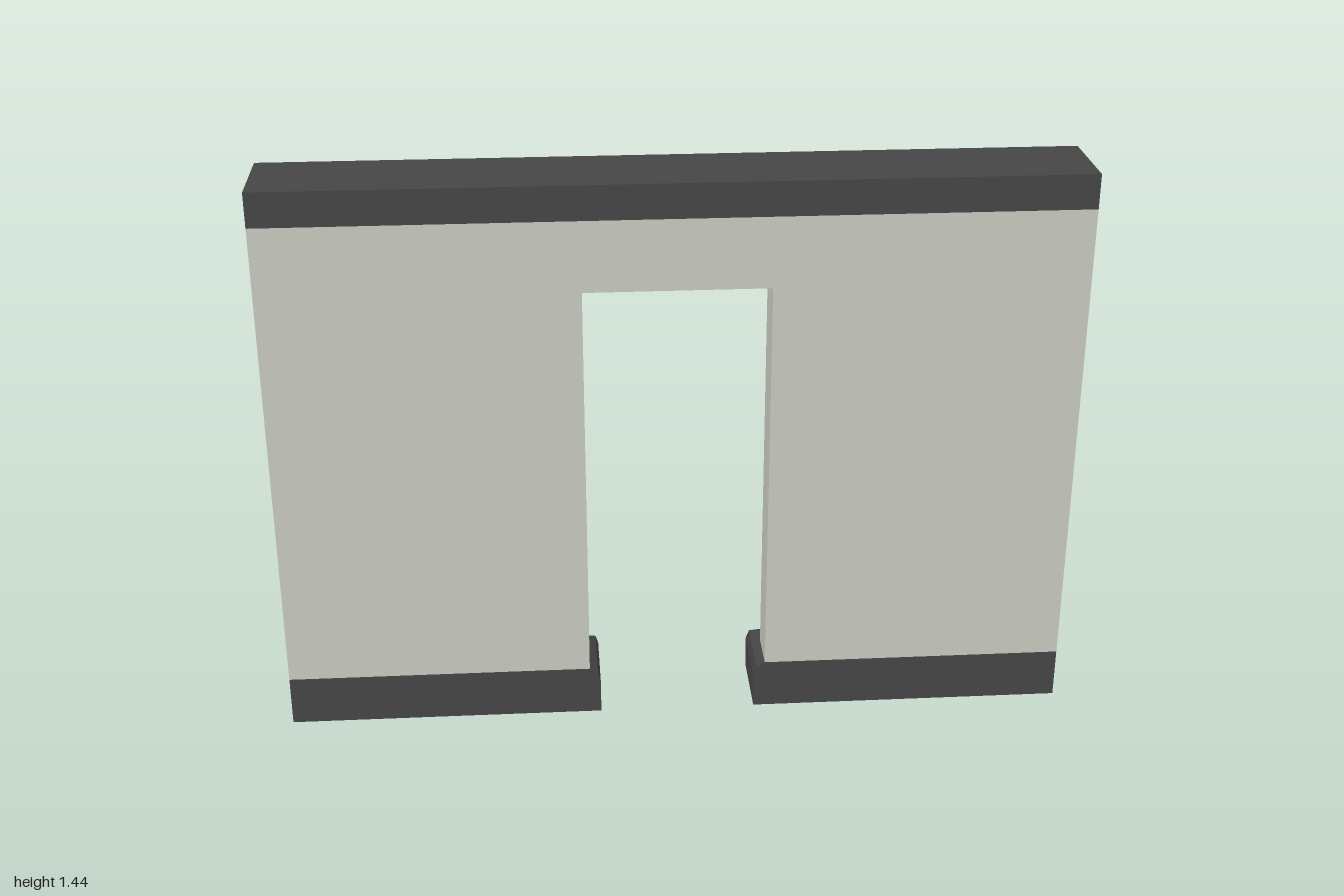
import * as THREE from 'three';

const W = 1, D = 0.114;            // half width, half depth
const BASE_TOP = 0.129, CAP_BOTTOM = 1.349, CAP_TOP = 1.436;
const DOOR = 0.228, DOOR_TOP = 1.17;

const toShape = (points) => new THREE.Shape(points.map(([x, y]) => new THREE.Vector2(x, y)));

// Plinth on one side: stacked plan outlines, rounded over at the back and the doorway
function plinthGeometry(side) {
  // [height, inset from the back, inset from the doorway end]
  const levels = [[0, 0, 0], [0.084, 0, 0], [0.112, 0.011, 0.007], [BASE_TOP, 0.042, 0.027]];
  const rings = levels.map(([y, back, end]) => [
    [W, D], [W, -D + back], [0.33, -D + back], [0.2 + end, -0.09 + back], [0.2 + end, D],
  ].map(([x, z]) => [side * x, y, z]));
  const pos = [];
  const tri = (a, b, c) => pos.push(...(side > 0 ? [a, b, c] : [a, c, b]).flat());
  const n = rings[0].length;
  for (let r = 0; r < rings.length - 1; r++) {
    for (let i = 0; i < n; i++) {
      const j = (i + 1) % n, lo = rings[r], hi = rings[r + 1];
      tri(lo[i], lo[j], hi[j]);
      tri(lo[i], hi[j], hi[i]);
    }
  }
  const bottom = rings[0], top = rings[rings.length - 1];
  for (let i = 1; i < n - 1; i++) {
    tri(top[0], top[i], top[i + 1]);
    tri(bottom[0], bottom[i + 1], bottom[i]);
  }
  const geometry = new THREE.BufferGeometry();
  geometry.setAttribute('position', new THREE.Float32BufferAttribute(pos, 3));
  geometry.computeVertexNormals();
  return geometry;
}

export function createModel() {
  const group = new THREE.Group();
  const plaster = new THREE.MeshStandardMaterial({ color: 0xc9cbc1 });
  const trim = new THREE.MeshStandardMaterial({ color: 0x464646 });
  const add = (name, geometry, material) => {
    const mesh = new THREE.Mesh(geometry, material);
    mesh.name = name;
    group.add(mesh);
  };

  // Wall panel with the doorway cut up from below
  const wall = toShape([
    [-W, BASE_TOP], [-DOOR, BASE_TOP], [-DOOR, DOOR_TOP], [DOOR, DOOR_TOP],
    [DOOR, BASE_TOP], [W, BASE_TOP], [W, CAP_BOTTOM], [-W, CAP_BOTTOM],
  ]);
  add('wall', new THREE.ExtrudeGeometry(wall, { depth: D, bevelEnabled: false }), plaster);

  // Top trim: (z, y) profile run along x, rounded under at the back
  const profile = toShape([
    [D, CAP_BOTTOM], [D, CAP_TOP], [-D, CAP_TOP], [-D, 1.39], [-0.103, 1.364], [-0.072, CAP_BOTTOM],
  ]);
  const cap = new THREE.ExtrudeGeometry(profile, { depth: 2 * W, bevelEnabled: false });
  cap.rotateY(-Math.PI / 2).translate(W, 0, 0);
  add('topTrim', cap, trim);

  // Plinths either side of the doorway
  add('leftPlinth', plinthGeometry(1), trim);
  add('rightPlinth', plinthGeometry(-1), trim);
  return group;
}
